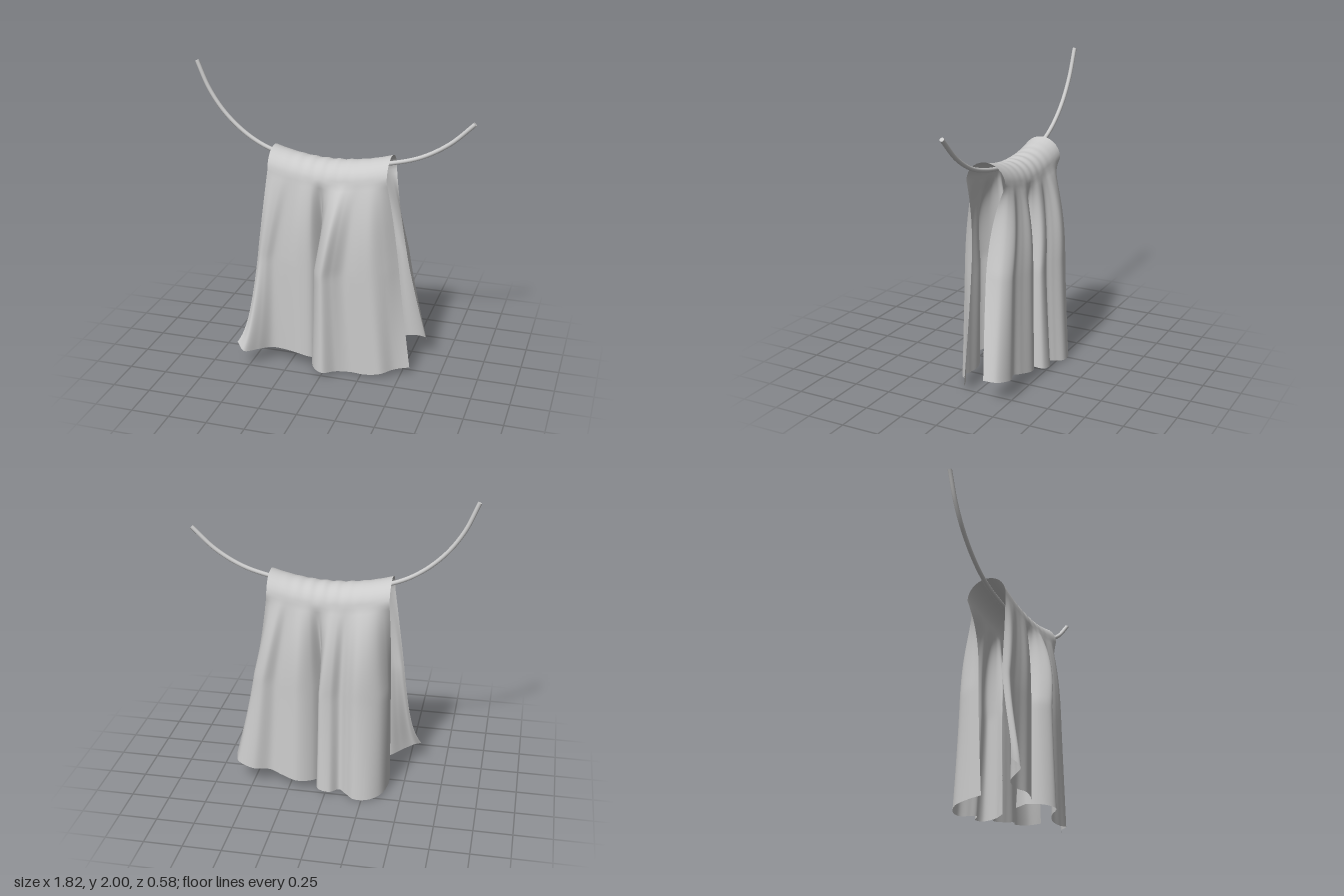
import * as THREE from 'three';

const V = (p) => new THREE.Vector3(...p);
const curve = (pts) => new THREE.CatmullRomCurve3(pts.map(V), false, 'centripetal');
const { lerp } = THREE.MathUtils;

const HALF = 0.39;    // half width of the cloth where it crosses the rail
const MID_Z = -0.018; // depth of the rail
const ARCH = 0.135;   // half depth of the arch over the rail
const RISE = 0.13;    // height of the arch
const MID_T = 0.46;   // how far down the middle section lies

// Each hanging side: a middle section [x, z] and a hem line [x, y, z] from -x to +x.
// Doubled-back points make the overlapping folds; flare kicks out the -x hem corner.
const section = (pts) => curve(pts.map(([x, z]) => [x, 0, z]));
const front = {
  side: 1, flare: 0.055,
  mid: section([
    [-0.46, 0.13], [-0.435, 0.165], [-0.4, 0.165], [-0.35, 0.145], [-0.26, 0.15],
    [-0.17, 0.165], [-0.09, 0.15], [-0.03, 0.05], [-0.065, 0.11], [-0.06, 0.19],
    [0, 0.25], [0.06, 0.21], [0.13, 0.17], [0.23, 0.18], [0.32, 0.175],
    [0.4, 0.12], [0.465, 0.05],
  ]),
  hem: curve([
    [-0.525, 0.16, 0.25], [-0.5, 0.12, 0.285], [-0.44, 0.11, 0.22], [-0.37, 0.1, 0.145],
    [-0.27, 0.09, 0.135], [-0.18, 0.09, 0.16], [-0.09, 0.07, 0.145], [-0.02, 0.06, 0.01],
    [-0.09, 0.05, 0.11], [-0.06, 0.04, 0.22], [0.01, 0.03, 0.265], [0.09, 0.02, 0.2],
    [0.18, 0.01, 0.165], [0.28, 0.01, 0.17], [0.38, 0.03, 0.17], [0.46, 0.04, 0.1],
    [0.555, 0.05, 0.06],
  ]),
};
const back = {
  side: -1, flare: 0,
  mid: section([
    [-0.4, -0.06], [-0.395, -0.13], [-0.355, -0.205], [-0.28, -0.25], [-0.2, -0.26],
    [-0.14, -0.225], [-0.09, -0.195], [-0.03, -0.23], [0.04, -0.225], [0.05, -0.165],
    [0.03, -0.11], [0.09, -0.19], [0.18, -0.23], [0.27, -0.205], [0.34, -0.19],
    [0.42, -0.215], [0.48, -0.17], [0.49, -0.07],
  ]),
  hem: curve([
    [-0.405, 0.03, -0.03], [-0.4, 0.02, -0.12], [-0.365, 0.01, -0.22], [-0.29, 0, -0.28],
    [-0.2, 0, -0.29], [-0.14, 0.01, -0.25], [-0.09, 0.02, -0.22], [-0.03, 0.02, -0.265],
    [0.05, 0.03, -0.25], [0.06, 0.04, -0.17], [0.02, 0.05, -0.1], [0.09, 0.06, -0.2],
    [0.19, 0.07, -0.245], [0.3, 0.09, -0.22], [0.38, 0.11, -0.2], [0.49, 0.13, -0.24],
    [0.6, 0.15, -0.2], [0.63, 0.16, -0.12],
  ]),
};

const topX = (u) => (2 * u - 1) * HALF;
// The cloth sags with the rail and puckers slightly near the middle
const topY = (u) => {
  const x = topX(u);
  return 1.42 + 0.4 * x * x + 0.003 * Math.sin(u * 60) * Math.sin(Math.PI * u) ** 2;
};

// Point on a hanging side: t = 0 at the arch, t = 1 at the hem
function hangingPoint({ side, flare, mid, hem }, u, t) {
  const m = mid.getPoint(u), h = hem.getPoint(u);
  const y = lerp(topY(u) - RISE, h.y, t);
  if (t < MID_T) {
    // Folds open quickly just below the rail
    const s = t / MID_T;
    return [lerp(topX(u), m.x, s), y, lerp(MID_Z + side * ARCH, m.z, 1 - (1 - s) ** 2.5)];
  }
  const s = (t - MID_T) / (1 - MID_T);
  const kick = flare * t ** 12 * (1 - u) ** 12;
  return [lerp(m.x, h.x, s ** 1.1) - kick, y, lerp(m.z, h.z, s ** 1.3)];
}

// Point on the arch: a = 0 at the front, a = 1 at the back
function archPoint(u, a) {
  const angle = a * Math.PI;
  return [
    topX(u),
    topY(u) - RISE + RISE * Math.sin(angle),
    MID_Z + ARCH * Math.cos(angle),
  ];
}

// One continuous sheet: front hem, over the rail, back hem
function clothGeometry() {
  const cols = 136, drop = 40, arch = 14;
  const rows = 2 * drop + arch;
  const positions = [], index = [];
  for (let r = 0; r <= rows; r++) {
    for (let c = 0; c <= cols; c++) {
      const u = c / cols;
      let p;
      if (r < drop) p = hangingPoint(front, u, 1 - r / drop);
      else if (r <= drop + arch) p = archPoint(u, (r - drop) / arch);
      else p = hangingPoint(back, u, (r - drop - arch) / drop);
      positions.push(...p);
      if (r < rows && c < cols) {
        const a = r * (cols + 1) + c, b = a + cols + 1;
        index.push(a, a + 1, b, b, a + 1, b + 1);
      }
    }
  }
  const geo = new THREE.BufferGeometry();
  geo.setAttribute('position', new THREE.Float32BufferAttribute(positions, 3));
  geo.setIndex(index);
  geo.computeVertexNormals();
  return geo;
}

export function createModel() {
  const model = new THREE.Group();
  model.name = 'drapedCloth';
  const material = new THREE.MeshStandardMaterial({ color: 0xcccccc });
  const clothMaterial = new THREE.MeshStandardMaterial({ color: 0xcccccc, side: THREE.DoubleSide });

  const cloth = new THREE.Mesh(clothGeometry(), clothMaterial);
  cloth.name = 'cloth';
  model.add(cloth);

  // Curved rail
  const path = curve([
    [-0.9, 1.995], [-0.82, 1.81], [-0.71, 1.655], [-0.56, 1.525], [-0.4, 1.445],
    [-0.2, 1.405], [0, 1.393], [0.2, 1.403], [0.4, 1.435], [0.58, 1.49],
    [0.75, 1.59], [0.9, 1.73],
  ].map(([x, y]) => [x, y, MID_Z]));
  const radius = 0.014;
  const rail = new THREE.Mesh(new THREE.TubeGeometry(path, 64, radius, 12), material);
  rail.name = 'rail';
  model.add(rail);

  // Flat caps on the rail ends
  for (const end of [0, 1]) {
    const cap = new THREE.Mesh(new THREE.CircleGeometry(radius, 12), material);
    const outward = path.getTangentAt(end).multiplyScalar(end ? 1 : -1);
    cap.position.copy(path.getPointAt(end));
    cap.quaternion.setFromUnitVectors(new THREE.Vector3(0, 0, 1), outward);
    cap.name = end ? 'leftRailCap' : 'rightRailCap';
    model.add(cap);
  }
  return model;
}
